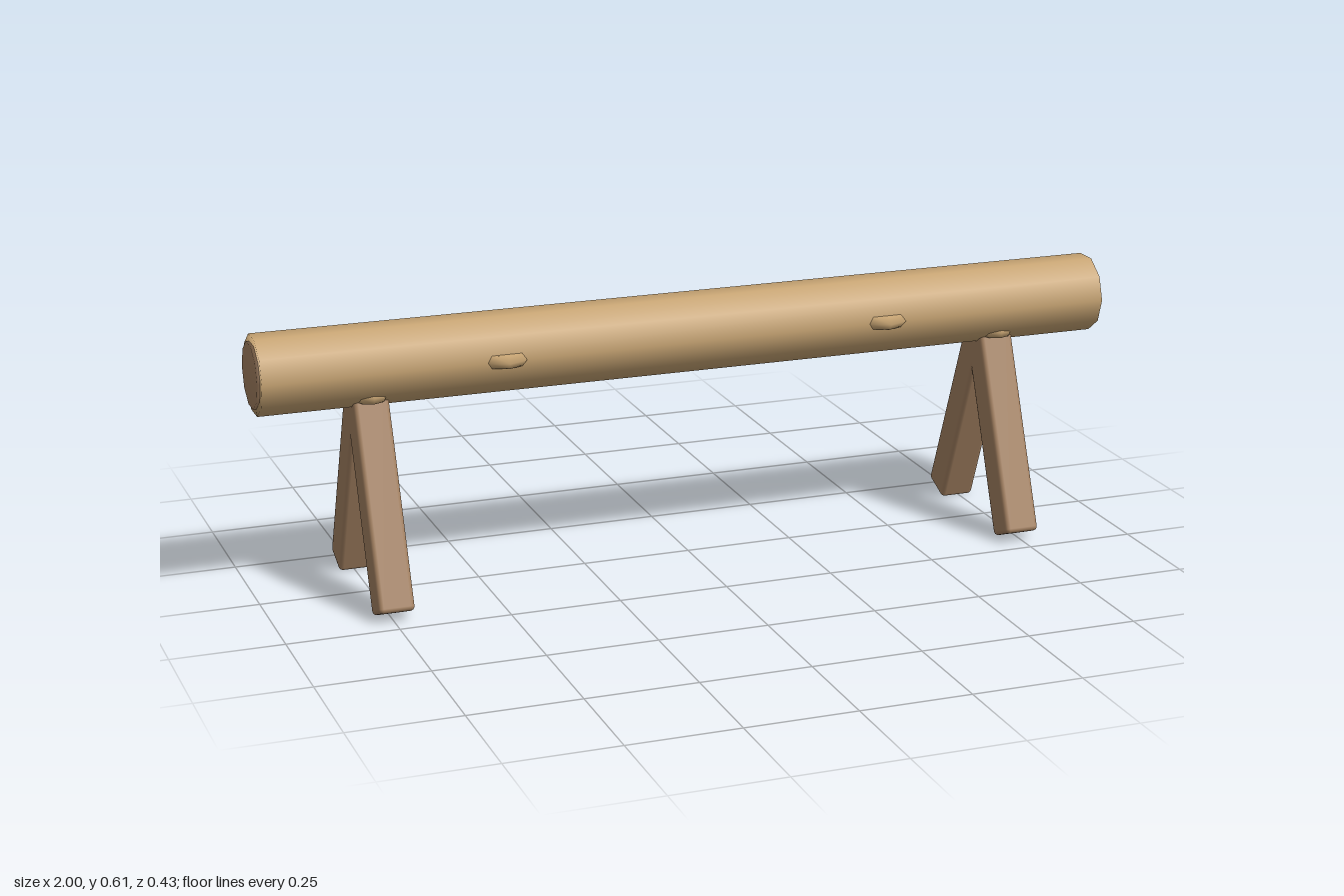
import * as THREE from 'three';
import { RoundedBoxGeometry } from 'three/addons/geometries/RoundedBoxGeometry.js';

const LOG_Y = 0.525;

function lathe(points, sides) {
  return new THREE.LatheGeometry(points.map(([r, y]) => new THREE.Vector2(r, y)), sides);
}

export function createModel() {
  const model = new THREE.Group();
  model.name = 'logHurdle';

  const barkWood = new THREE.MeshStandardMaterial({ color: 0xc8a574 });
  barkWood.name = 'light wood';
  const cutWood = new THREE.MeshStandardMaterial({ color: 0xa58262 });
  cutWood.name = 'brown wood';

  function add(name, geometry, material, x, y, z) {
    const mesh = new THREE.Mesh(geometry, material);
    mesh.name = name;
    mesh.position.set(x, y, z);
    model.add(mesh);
    return mesh;
  }

  // Ten-sided log lying along x
  const logGeo = lathe([[0, -0.993], [0.09, -0.993], [0.09, 0.993], [0, 0.993]], 10);
  add('log', logGeo, barkWood, 0, LOG_Y, 0).rotation.z = -Math.PI / 2;

  // Shared shapes: sawn end, flat bevelled knot, leg and its collar
  const endGeo = lathe([[0.074, -0.01], [0.074, 0.007], [0, 0.007]], 10);
  const knotGeo = lathe([[0, -0.0145], [0.048, -0.0145], [0.06, 0], [0.048, 0.0145], [0, 0.0145]], 8);
  const collarGeo = lathe([[0, -0.014], [0.034, -0.014], [0.04, 0], [0.034, 0.014], [0, 0.014]], 8);
  const legGeo = new RoundedBoxGeometry(0.08, 0.52, 0.08, 2, 0.01);
  const splay = THREE.MathUtils.degToRad(22);

  for (const sx of [-1, 1]) {
    add('logEnd', endGeo, cutWood, sx * 0.993, LOG_Y, 0).rotation.z = -sx * Math.PI / 2;
    for (const sz of [-1, 1]) {
      add('knot', knotGeo, barkWood, sx * 0.45, LOG_Y, sz * 0.052);
      add('legCollar', collarGeo, barkWood, sx * 0.745, 0.467, sz * 0.035);
      // Legs lean in towards the log
      add('leg', legGeo, cutWood, sx * 0.745, 0.254, sz * 0.084).rotation.x = -sz * splay;
    }
  }
  return model;
}
